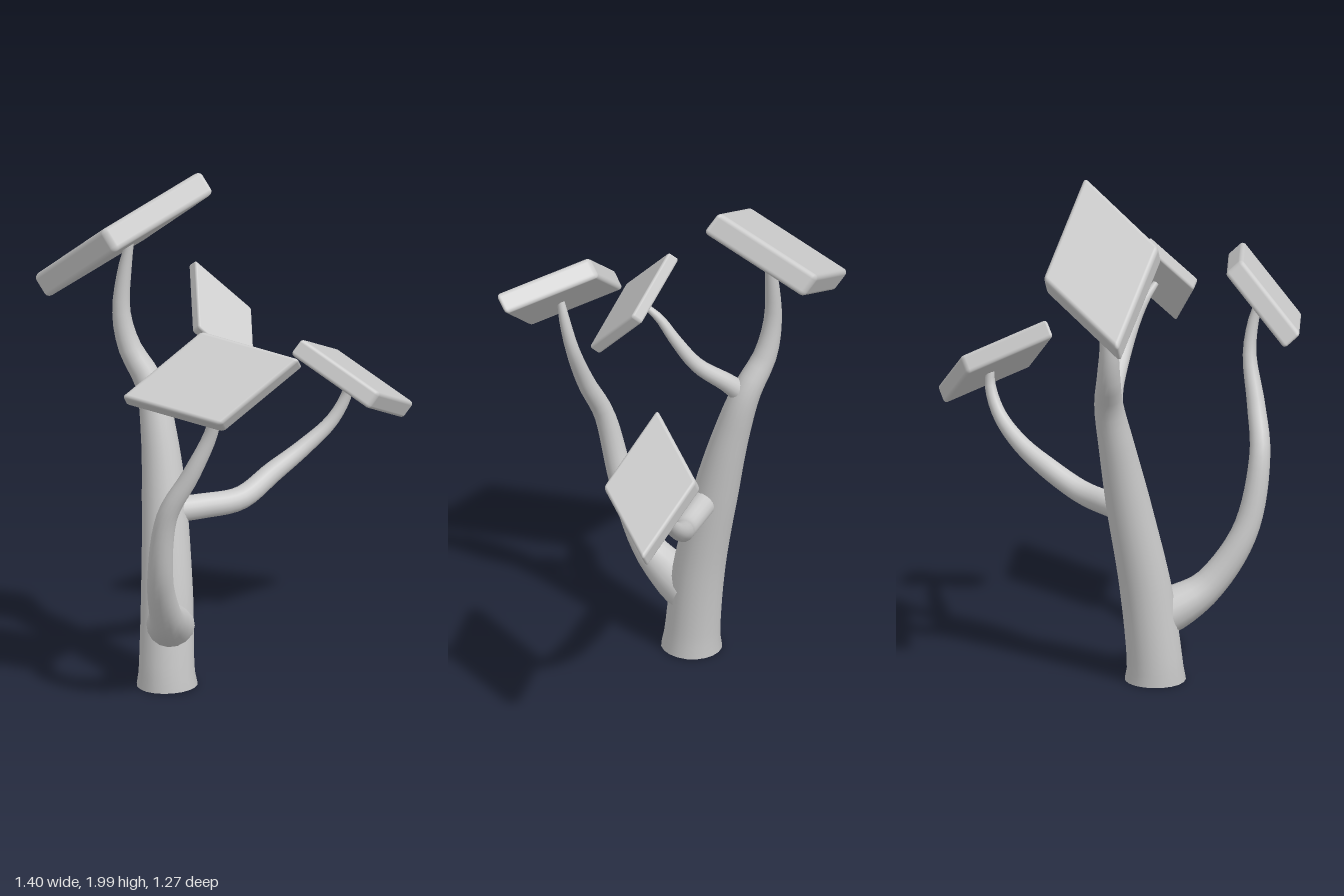
import * as THREE from 'three';
import { RoundedBoxGeometry } from 'three/addons/geometries/RoundedBoxGeometry.js';

const material = new THREE.MeshStandardMaterial({ color: 0xcccccc });

// Tapered limb: each station is [x, y, z, radius].
function limb(name, stations, sides = 16) {
  const curve = new THREE.CatmullRomCurve3(
    stations.map(([x, y, z]) => new THREE.Vector3(x, y, z)), false, 'centripetal');
  const last = stations.length - 1;
  const segments = last * 4;
  const geometry = new THREE.TubeGeometry(curve, segments, 1, sides, false);
  const position = geometry.attributes.position;
  const v = new THREE.Vector3();
  for (let i = 0; i <= segments; i++) {
    const u = i / segments;
    const s = curve.getUtoTmapping(u) * last;
    const k = Math.min(Math.floor(s), last - 1);
    const radius = THREE.MathUtils.lerp(stations[k][3], stations[k + 1][3], s - k);
    const centre = curve.getPointAt(u);
    for (let j = 0; j <= sides; j++) {
      const n = i * (sides + 1) + j;
      v.fromBufferAttribute(position, n).sub(centre).multiplyScalar(radius).add(centre);
      position.setXYZ(n, v.x, Math.max(0, v.y), v.z);
    }
  }
  geometry.computeBoundingSphere();
  const mesh = new THREE.Mesh(geometry, material);
  mesh.name = name;
  return mesh;
}

// Skewed soft-edged slab: a, b, c are consecutive corners of its upper face.
function slab(name, thickness, a, b, c) {
  const [A, B, C] = [a, b, c].map((p) => new THREE.Vector3(...p));
  const e1 = B.clone().sub(A);
  const e2 = C.clone().sub(B);
  const up = e1.clone().cross(e2).normalize();
  const centre = A.clone().add(C).multiplyScalar(0.5).addScaledVector(up, -thickness / 2);
  const grow = 0.012;
  const geometry = new RoundedBoxGeometry(
    e2.length() + grow, thickness, e1.length() + grow, 3, thickness * 0.2);
  geometry.applyMatrix4(new THREE.Matrix4()
    .makeBasis(e2.normalize(), up, e1.normalize())
    .setPosition(centre));
  const mesh = new THREE.Mesh(geometry, material);
  mesh.name = name;
  return mesh;
}

export function createModel() {
  const tree = new THREE.Group();
  tree.name = 'tree';

  // Leaning trunk with a slight flare at the foot
  tree.add(limb('trunk', [
    [-0.165, 0, -0.012, 0.117], [-0.167, 0.06, -0.014, 0.107], [-0.17, 0.36, -0.05, 0.1],
    [-0.19, 0.72, -0.125, 0.086], [-0.215, 0.95, -0.175, 0.07], [-0.255, 1.14, -0.218, 0.056],
    [-0.335, 1.28, -0.24, 0.045], [-0.368, 1.42, -0.247, 0.035],
    [-0.355, 1.6, -0.255, 0.026], [-0.335, 1.71, -0.258, 0.015]], 20));

  const base = new THREE.Mesh(new THREE.CircleGeometry(0.117, 20), material);
  base.name = 'trunkBase';
  base.rotation.x = Math.PI / 2;
  base.position.set(-0.165, 0, -0.012);
  tree.add(base);

  // Branches
  tree.add(limb('frontBranch', [
    [-0.15, 0.24, -0.02, 0.09], [-0.15, 0.28, 0.08, 0.085], [-0.145, 0.35, 0.2, 0.063],
    [-0.15, 0.56, 0.345, 0.05], [-0.115, 0.85, 0.412, 0.04], [-0.025, 1.02, 0.42, 0.035],
    [0.055, 1.2, 0.415, 0.026], [0.075, 1.32, 0.435, 0.021], [0.075, 1.41, 0.46, 0.013]]));
  tree.add(limb('leftBranch', [
    [-0.17, 0.675, -0.1, 0.05], [-0.05, 0.675, -0.16, 0.048], [0.09, 0.685, -0.235, 0.045],
    [0.2, 0.755, -0.34, 0.041], [0.31, 0.83, -0.425, 0.033], [0.41, 0.92, -0.48, 0.026],
    [0.465, 1.02, -0.5, 0.021], [0.475, 1.08, -0.495, 0.014]]));
  tree.add(limb('middleBranch', [
    [-0.26, 1.12, -0.21, 0.045], [-0.19, 1.19, -0.18, 0.036], [-0.09, 1.28, -0.12, 0.029],
    [-0.03, 1.39, -0.06, 0.023], [0.0, 1.47, -0.01, 0.018], [0.03, 1.52, 0.04, 0.012]]));

  // Foliage slabs at the branch tips
  tree.add(slab('topFoliage', 0.1,
    [-0.71, 1.53, -0.305], [-0.42, 1.82, -0.07], [-0.07, 2.0, -0.265]));
  tree.add(slab('frontFoliage', 0.085,
    [-0.27, 1.375, 0.53], [0.11, 1.32, 0.635], [0.39, 1.535, 0.48]));
  tree.add(slab('leftFoliage', 0.075,
    [0.32, 1.31, -0.32], [0.61, 1.1, -0.335], [0.705, 0.95, -0.64]));
  tree.add(slab('middleFoliage', 0.05,
    [-0.05, 1.73, 0], [-0.015, 1.54, 0.19], [0.19, 1.355, 0.175]));

  return tree;
}
